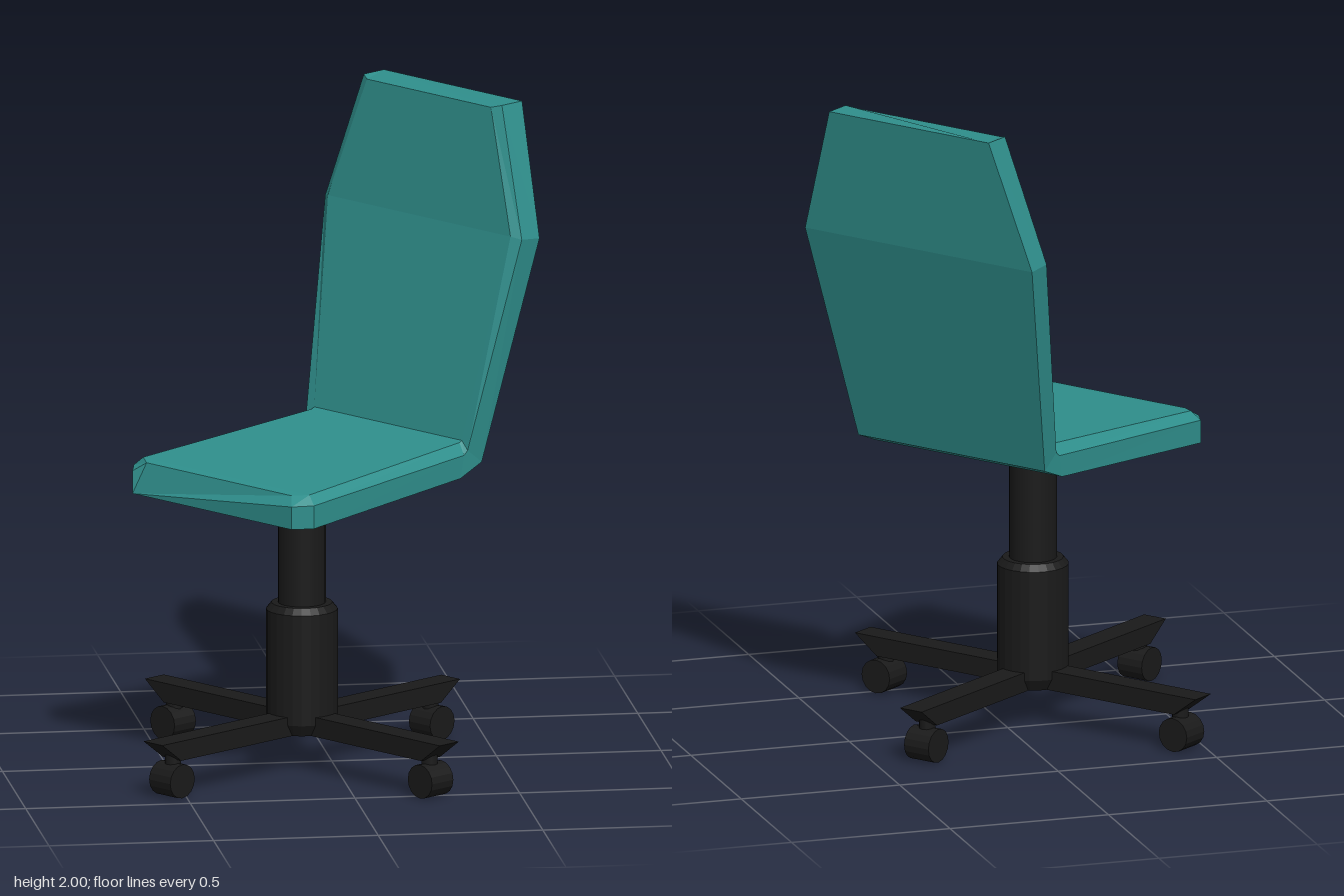
import * as THREE from 'three';

const teal = new THREE.MeshStandardMaterial({ color: 0x2f8f8c, flatShading: true });
const black = new THREE.MeshStandardMaterial({ color: 0x1a1a1a });
const blackFlat = new THREE.MeshStandardMaterial({ color: 0x1a1a1a, flatShading: true });

function add(parent, name, geometry, material) {
  const mesh = new THREE.Mesh(geometry, material);
  mesh.name = name;
  parent.add(mesh);
  return mesh;
}

// Seat and backrest in one shell: bevelled cross-sections from the front lip to the top.
// Each station: half width, then [z, y] of the outer side, the bevel edge and the padded face.
function shellGeometry() {
  const stations = [
    { w: 0.34, outer: [0.38, 0.85], edge: [0.38, 0.92], face: [0.35, 0.945] },
    { w: 0.385, outer: [0.33, 0.852], edge: [0.33, 0.923], face: [0.32, 0.95] },
    { w: 0.345, outer: [-0.33, 0.893], edge: [-0.345, 0.962], face: [-0.355, 0.995] },
    { w: 0.345, outer: [-0.42, 0.93], edge: [-0.36, 0.975], face: [-0.365, 1.0] },
    { w: 0.42, outer: [-0.59, 1.605], edge: [-0.515, 1.612], face: [-0.497, 1.62] },
    { w: 0.295, outer: [-0.64, 2], edge: [-0.555, 2], face: [-0.538, 1.992] },
  ];
  const bevel = 0.03;
  const loops = stations.map(({ w, outer, edge, face }) => {
    const at = (x, [z, y]) => new THREE.Vector3(x, y, z);
    return [
      at(-w, outer), at(w, outer), at(w, edge),
      at(w - bevel, face), at(bevel - w, face), at(-w, edge),
    ];
  });
  const points = [];
  const n = 6;
  for (let i = 0; i < loops.length - 1; i++) {
    for (let j = 0; j < n; j++) {
      const k = (j + 1) % n;
      const a = loops[i][j], b = loops[i][k], c = loops[i + 1][k], d = loops[i + 1][j];
      points.push(a, d, c, a, c, b);
    }
  }
  const first = loops[0], last = loops[loops.length - 1];
  for (let j = 1; j < n - 1; j++) {
    points.push(first[0], first[j], first[j + 1]);
    points.push(last[0], last[j + 1], last[j]);
  }
  const geometry = new THREE.BufferGeometry().setFromPoints(points);
  geometry.computeVertexNormals();
  return geometry;
}

// Leg: side outline with a slanted tip, extruded across its width
function legGeometry() {
  const width = 0.08;
  const outline = new THREE.Shape([
    new THREE.Vector2(0, 0.115),
    new THREE.Vector2(0.55, 0.115),
    new THREE.Vector2(0.63, 0.175),
    new THREE.Vector2(0, 0.175),
  ]);
  const geometry = new THREE.ExtrudeGeometry(outline, { depth: width, bevelEnabled: false });
  return geometry.translate(0, 0, -width / 2);
}

export function createModel() {
  const model = new THREE.Group();
  model.name = 'swivelChair';

  // The whole chair is turned about its post
  const chair = new THREE.Group();
  chair.name = 'chair';
  chair.position.set(-0.1, 0, 0.065);
  chair.rotation.y = -0.93;
  model.add(chair);

  add(chair, 'seatAndBackrest', shellGeometry(), teal);

  // Gas lift
  const post = add(chair, 'post', new THREE.CylinderGeometry(0.072, 0.072, 0.42, 24), black);
  post.position.y = 0.68;
  const sleeve = [[0, 0.115], [0.09, 0.115], [0.108, 0.15], [0.108, 0.49], [0.092, 0.51], [0, 0.51]];
  add(chair, 'sleeve', new THREE.LatheGeometry(sleeve.map(([r, y]) => new THREE.Vector2(r, y)), 24), blackFlat);

  // Four legs with casters
  const legShape = legGeometry();
  const wheelShape = new THREE.CylinderGeometry(0.052, 0.052, 0.09, 16).rotateX(Math.PI / 2);
  const neckShape = new THREE.CylinderGeometry(0.025, 0.025, 0.06, 12);
  for (let i = 0; i < 4; i++) {
    const leg = new THREE.Group();
    leg.name = 'legWithCaster' + (i + 1);
    leg.rotation.y = i * Math.PI / 2;
    add(leg, 'leg', legShape, blackFlat);
    add(leg, 'casterNeck', neckShape, black).position.set(0.545, 0.1, 0);
    add(leg, 'casterWheel', wheelShape, blackFlat).position.set(0.55, 0.052, 0);
    chair.add(leg);
  }
  return model;
}
